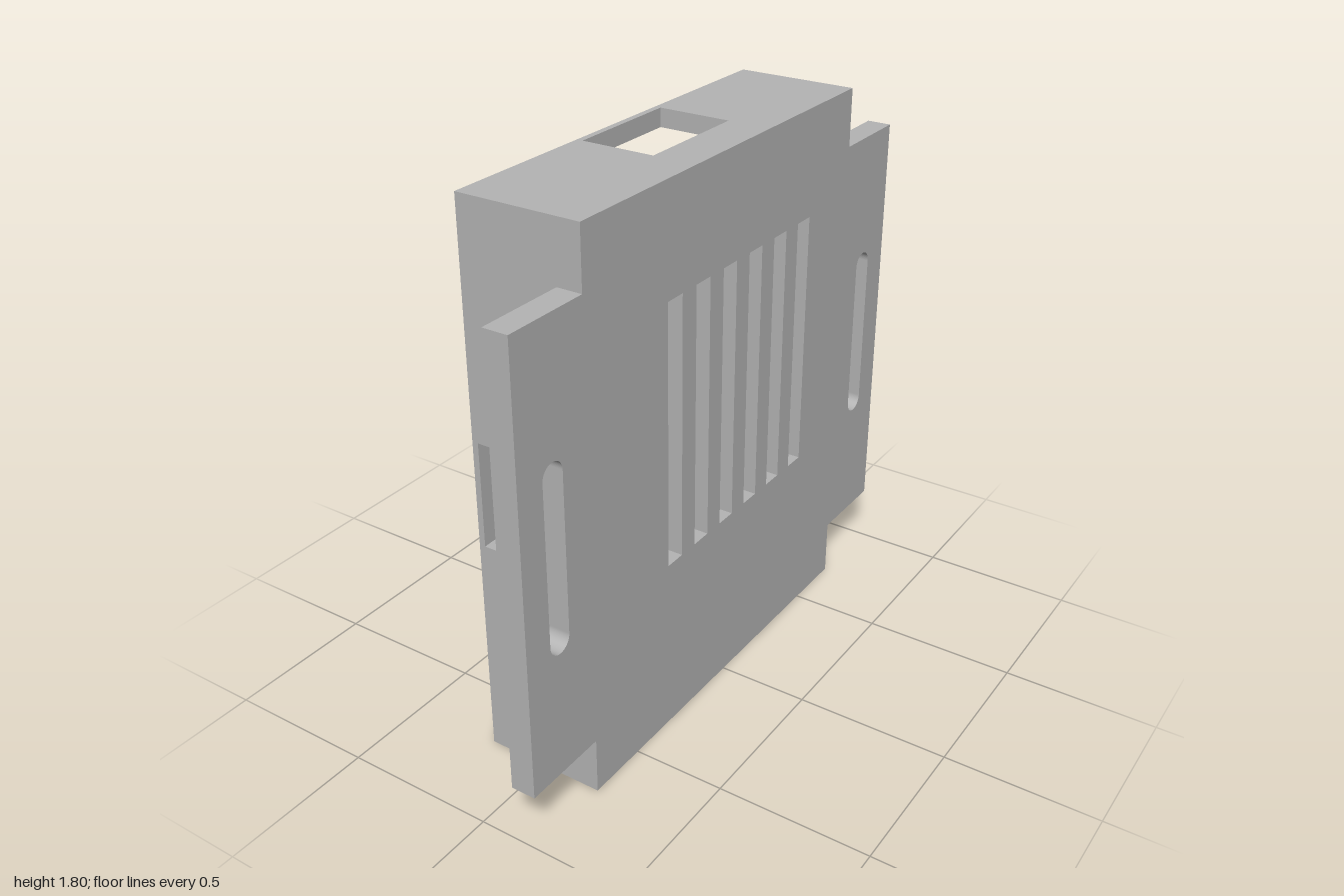
import * as THREE from 'three';

const FLOOR = 0.12, BACK = 0.2, RIM = -0.2; // x levels: inner floor, outer plate face, open rim
const HALF = 0.71, HEIGHT = 1.8, WALL = 0.06;

function polygon(points) {
  return new THREE.Shape(points.map(([a, b]) => new THREE.Vector2(a, b)));
}
function rect(a0, b0, a1, b1) {
  return polygon([[a0, b0], [a1, b0], [a1, b1], [a0, b1]]);
}
function extrude(shape, depth) {
  return new THREE.ExtrudeGeometry(shape, { depth, bevelEnabled: false, curveSegments: 24 });
}

export function createModel() {
  const group = new THREE.Group();
  const grey = new THREE.MeshStandardMaterial({ color: 0xb4b4b4 });
  grey.name = 'grey plastic';
  const add = (name, geometry) => {
    const mesh = new THREE.Mesh(geometry, grey);
    mesh.name = name;
    group.add(mesh);
    return mesh;
  };

  // Mounting plate with side flanges, drawn in (-z, y) and extruded along x
  const plate = polygon([
    [-HALF, 0], [HALF, 0], [HALF, 0.19], [1, 0.19], [1, 1.61], [HALF, 1.61],
    [HALF, HEIGHT], [-HALF, HEIGHT], [-HALF, 1.61], [-1, 1.61], [-1, 0.19], [-HALF, 0.19],
  ]);
  // Ventilation slots
  for (let i = 0; i < 6; i++) {
    const u = -0.328 + i * 0.1437;
    plate.holes.push(rect(u, 0.59, u + 0.073, 1.45));
  }
  // Rounded screw slots in the flanges
  const r = 0.042;
  for (const u of [-0.857, 0.857]) {
    const slot = new THREE.Path();
    slot.absarc(u, 1.2 - r, r, 0, Math.PI, false);
    slot.absarc(u, 0.6 + r, r, Math.PI, 2 * Math.PI, false);
    slot.closePath();
    plate.holes.push(slot);
  }
  add('mountingPlate', extrude(plate, BACK - FLOOR).rotateY(Math.PI / 2).translate(FLOOR, 0, 0));

  // Front wall with its connector window, and the plain back wall
  const front = rect(RIM, WALL, FLOOR, HEIGHT - WALL);
  front.holes.push(rect(-0.18, 0.73, 0.06, 1.07));
  add('frontWall', extrude(front, WALL).translate(0, 0, HALF - WALL));
  add('backWall', extrude(rect(RIM, WALL, FLOOR, HEIGHT - WALL), WALL).translate(0, 0, -HALF));

  // Top wall with window, drawn in (x, -z)
  const top = rect(RIM, -HALF, FLOOR, HALF);
  top.holes.push(rect(-0.18, -0.19, 0.06, 0.2));
  add('topWall', extrude(top, WALL).rotateX(-Math.PI / 2).translate(0, HEIGHT - WALL, 0));

  // Bottom wall with a notch open to the rim
  const bottom = polygon([
    [RIM, -HALF], [FLOOR, -HALF], [FLOOR, HALF], [RIM, HALF],
    [RIM, 0.025], [0.08, 0.025], [0.08, -0.41], [RIM, -0.41],
  ]);
  add('bottomWall', extrude(bottom, WALL).rotateX(-Math.PI / 2));

  // Hollow standoffs rising from the floor, as [y, z]
  const profile = [[0.052, 0], [0.052, 0.11], [0.083, 0.11], [0.083, 0]];
  for (const [y, z] of [[0.42, 0.575], [0.44, -0.58], [1.655, 0.455], [1.655, -0.215]]) {
    // Each surface is a separate lathe so the edges stay sharp
    const standoff = new THREE.Group();
    standoff.name = 'standoff';
    for (let i = 0; i < 3; i++) {
      const pts = [profile[i + 1], profile[i]].map(([a, b]) => new THREE.Vector2(a, b));
      const mesh = new THREE.Mesh(new THREE.LatheGeometry(pts, 32), grey);
      mesh.name = ['standoffBore', 'standoffRim', 'standoffSide'][i];
      standoff.add(mesh);
    }
    standoff.rotation.z = Math.PI / 2;
    standoff.position.set(FLOOR, y, z);
    group.add(standoff);
  }
  return group;
}
